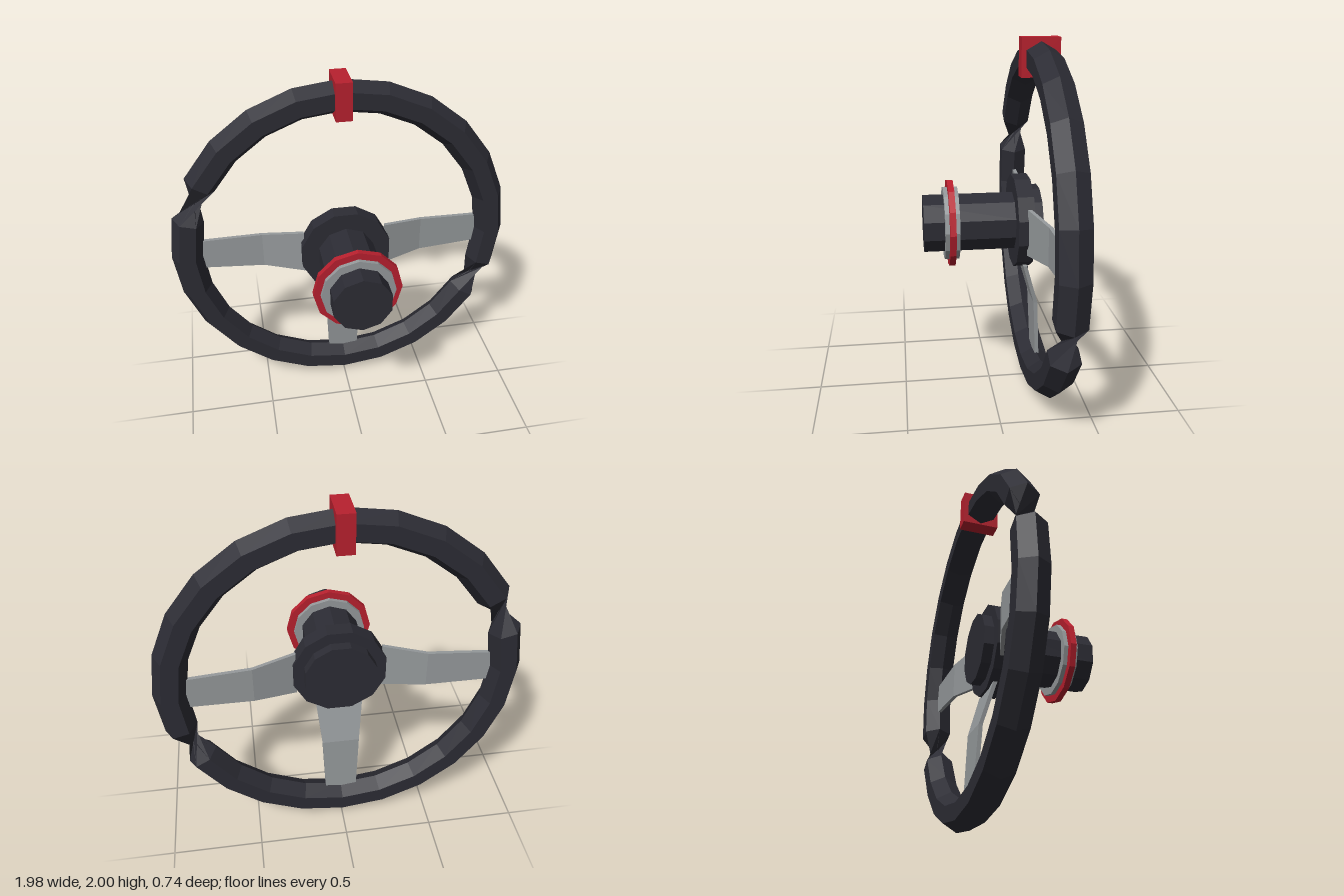
import * as THREE from 'three';

const CY = 0.993;      // height of the wheel centre
const RIM_Z = -0.27;   // depth of the rim plane

const flat = (name, color) => {
  const m = new THREE.MeshStandardMaterial({ color, flatShading: true });
  m.name = name;
  return m;
};

function fromLoops(loops, closed) {
  // Joins equal-length cross-sections into a skin, with end caps when open
  const n = loops[0].length, rows = loops.length;
  const index = [];
  for (let i = 0; i < (closed ? rows : rows - 1); i++) {
    const p = i * n, q = ((i + 1) % rows) * n;
    for (let j = 0; j < n; j++) {
      const k = (j + 1) % n;
      index.push(p + j, p + k, q + j, q + j, p + k, q + k);
    }
  }
  if (!closed) {
    const e = (rows - 1) * n;
    for (let j = 1; j < n - 1; j++) index.push(0, j + 1, j, e, e + j, e + j + 1);
  }
  const geo = new THREE.BufferGeometry();
  geo.setAttribute('position', new THREE.Float32BufferAttribute(loops.flat(2), 3));
  geo.setIndex(index);
  const out = geo.toNonIndexed();
  out.computeVertexNormals();
  return out;
}

// Hexagonal tube whose section turns half a revolution at two opposite places
function rimGeometry() {
  const loops = [];
  for (let i = 0; i < 24; i++) {
    const a = (i / 24) * Math.PI * 2;
    const turned = i >= 11 && i <= 22 ? Math.PI : 0;
    const loop = [];
    for (let j = 0; j < 6; j++) {
      const s = turned - (j / 6) * Math.PI * 2;
      const r = 0.902 + 0.09 * Math.cos(s);
      loop.push([r * Math.cos(a), r * Math.sin(a), 0.09 * Math.sin(s)]);
    }
    loops.push(loop);
  }
  return fromLoops(loops, true);
}

// Tapered bent bar running outward along +x
function spokeGeometry() {
  const t = 0.022;
  const stations = [[0.235, 0.13, -0.178], [0.47, 0.105, -0.245], [0.83, 0.09, -0.262]];
  return fromLoops(stations.map(([x, h, z]) => [
    [x, -h, z], [x, -h, z - t], [x, h, z - t], [x, h, z],
  ]), false);
}

export function createModel() {
  const group = new THREE.Group();
  const dark = flat('dark grip', 0x2c2c34);
  const grey = flat('grey metal', 0x95999b);
  const red = flat('red accent', 0xb8202e);

  const add = (name, geo, mat, z = 0, y = CY) => {
    const mesh = new THREE.Mesh(geo, mat);
    mesh.name = name;
    mesh.position.set(0, y, z);
    group.add(mesh);
    return mesh;
  };

  // Disc or shaft along z between two depths; turn sets the polygon's rotation
  const disc = (name, r, sides, z0, z1, mat, turn = 0) => {
    const geo = new THREE.CylinderGeometry(r, r, z1 - z0, sides);
    geo.rotateY(turn);
    geo.rotateX(-Math.PI / 2);
    add(name, geo, mat, (z0 + z1) / 2);
  };

  // Rim and the marker at its top
  add('rim', rimGeometry(), dark, RIM_Z);
  add('topMarker', new THREE.BoxGeometry(0.09, 0.208, 0.208), red, RIM_Z, 1.896);

  // Three spokes: left, right and bottom
  const spoke = spokeGeometry();
  [['leftSpoke', 0], ['rightSpoke', Math.PI], ['bottomSpoke', -Math.PI / 2]].forEach(([name, a]) => {
    add(name, spoke, grey).rotation.z = a;
  });

  // Hub, rear cap and the column with its collars
  disc('hub', 0.262, 12, -0.22, -0.13, dark, Math.PI / 12);
  disc('rearCap', 0.2, 12, -0.275, -0.21, dark, Math.PI / 12);
  disc('column', 0.165, 10, -0.15, 0.37, dark);
  disc('collar', 0.206, 12, 0.178, 0.258, grey);
  disc('collarBand', 0.245, 12, 0.202, 0.235, red);

  return group;
}
